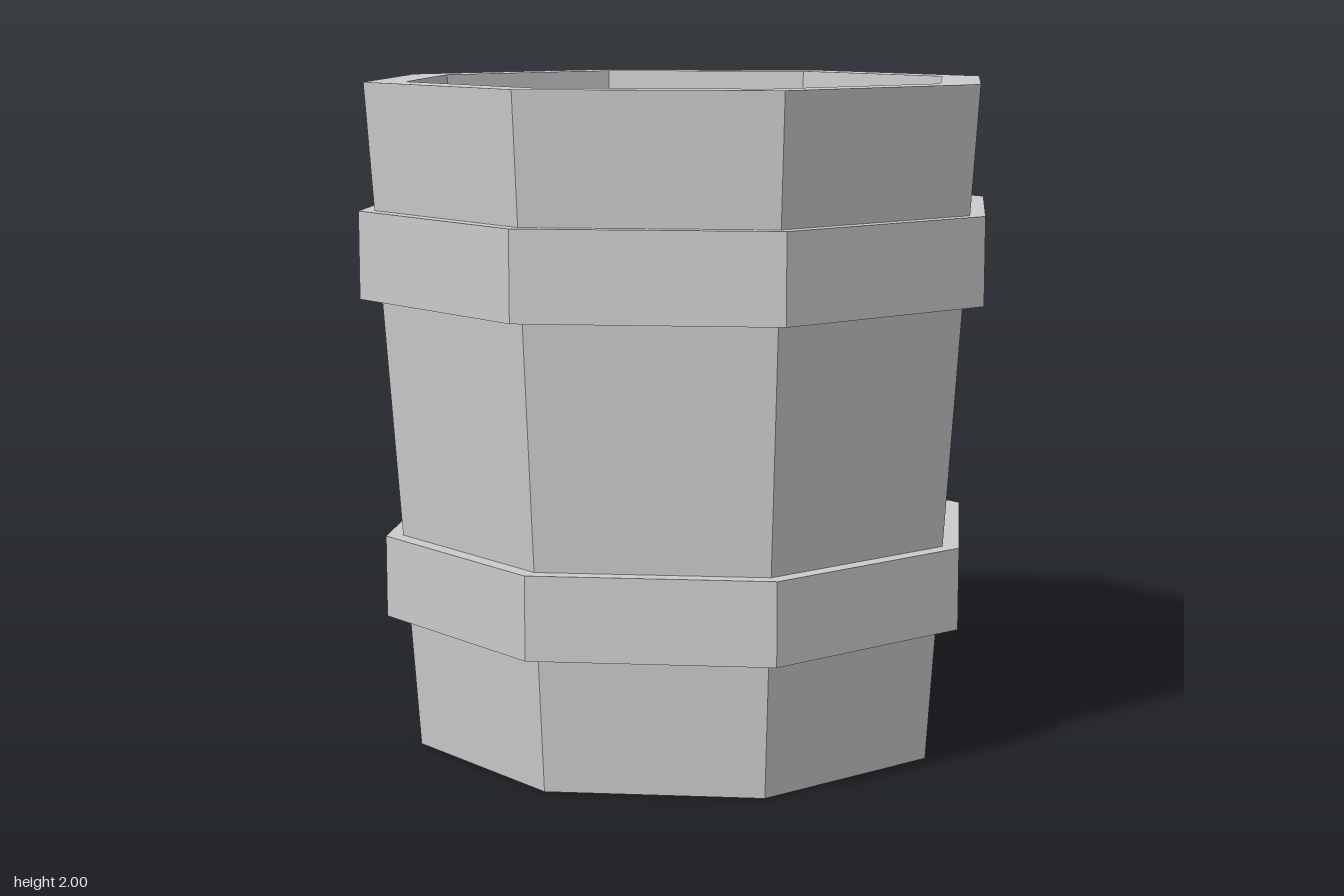
import * as THREE from 'three';

const material = new THREE.MeshStandardMaterial({ color: 0xcccccc, flatShading: true });
const SIDES = 8;
const BASE_RADIUS = 0.825, RIM_RADIUS = 0.967, HEIGHT = 2;

// Radius of the tapered outer wall at height y
const wallRadius = (y) => BASE_RADIUS + (RIM_RADIUS - BASE_RADIUS) * y / HEIGHT;

// Eight-sided part turned from a profile of [radius, y] points, with corners on the axes
function turned(name, profile) {
  const points = profile.map(([r, y]) => new THREE.Vector2(r, y));
  const mesh = new THREE.Mesh(new THREE.LatheGeometry(points, SIDES), material);
  mesh.name = name;
  return mesh;
}

// Upright band around the wall, its top and bottom reaching slightly into it
function hoop(name, radius, y0, y1) {
  return turned(name, [
    [wallRadius(y0) - 0.02, y0], [radius, y0], [radius, y1], [wallRadius(y1) - 0.02, y1],
  ]);
}

export function createModel() {
  const model = new THREE.Group();
  model.name = 'bucket';

  // Hollow body: underside, outer wall, rim, inner wall and floor
  model.add(turned('body', [
    [0, 0], [BASE_RADIUS, 0], [RIM_RADIUS, HEIGHT], [0.843, HEIGHT], [0.72, 0.27], [0, 0.27],
  ]));

  // Two hoops
  model.add(hoop('lowerHoop', 0.923, 0.405, 0.65));
  model.add(hoop('upperHoop', 0.988, 1.365, 1.625));

  return model;
}
